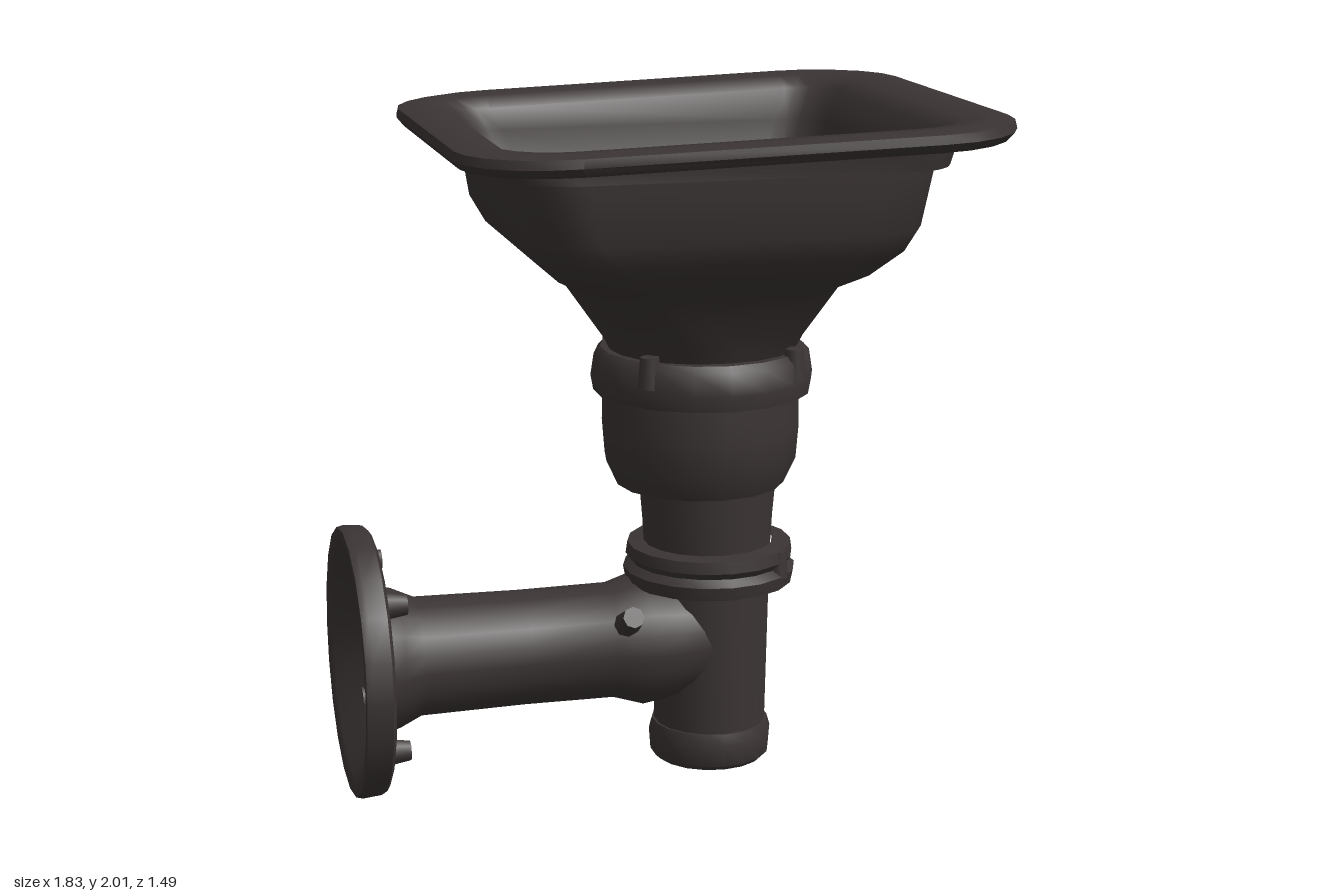
import * as THREE from 'three';
import { toCreasedNormals } from 'three/addons/utils/BufferGeometryUtils.js';

const AXIS_X = 0.155; // centre of the upright pipe

export function createModel() {
  const model = new THREE.Group();
  model.name = 'hopperPipe';
  const iron = new THREE.MeshStandardMaterial({ color: 0x3b3434 });
  iron.name = 'dark iron';

  function add(name, geometry, x = 0, y = 0, z = 0) {
    const mesh = new THREE.Mesh(geometry, iron);
    mesh.name = name;
    mesh.position.set(x, y, z);
    model.add(mesh);
    return mesh;
  }

  // Turned part from [radius, height] pairs, listed bottom to top
  function turned(profile, segments = 18) {
    const points = profile.map(([r, y]) => new THREE.Vector2(r, y));
    return toCreasedNormals(new THREE.LatheGeometry(points, segments), 0.75);
  }

  // Rounded-rectangle ring: y, left x, right x, half depth, corner radius, tilt
  function ring([y, x0, x1, hz, r, tilt = 0]) {
    const out = [];
    const steps = 5;
    for (let corner = 0; corner < 4; corner++) {
      const cx = corner < 2 ? x1 - r : x0 + r;
      const cz = corner === 0 || corner === 3 ? hz - r : r - hz;
      for (let i = 0; i <= steps; i++) {
        const a = (corner + i / steps) * Math.PI / 2;
        const x = cx + r * Math.sin(a);
        const z = (cz + r * Math.cos(a)) * (1 + tilt * (x - 0.9));
        out.push(x, y + tilt * (x - 0.125), z);
      }
    }
    return out;
  }

  // Skin through consecutive rings, with the last ring closed by a fan
  function loft(sections) {
    const rings = sections.map(ring);
    const n = rings[0].length / 3;
    const index = [];
    for (let j = 0; j < rings.length - 1; j++) {
      for (let i = 0; i < n; i++) {
        const a = j * n + i, b = j * n + (i + 1) % n;
        index.push(a, b, a + n, b, b + n, a + n);
      }
    }
    const last = (rings.length - 1) * n;
    for (let i = 1; i < n - 1; i++) index.push(last, last + i, last + i + 1);
    const geometry = new THREE.BufferGeometry();
    geometry.setAttribute('position', new THREE.Float32BufferAttribute(rings.flat(), 3));
    geometry.setIndex(index);
    geometry.computeVertexNormals();
    return toCreasedNormals(geometry, 0.85);
  }

  // Basin: outside from the neck up, over the rim, and down the inside
  add('basin', loft([
    [1.24, -0.10, 0.41, 0.25, 0.25],
    [1.32, -0.14, 0.45, 0.28, 0.27],
    [1.49, -0.25, 0.53, 0.37, 0.25],
    [1.54, -0.33, 0.58, 0.46, 0.22],
    [1.62, -0.42, 0.65, 0.53, 0.20],
    [1.69, -0.455, 0.67, 0.56, 0.17],
    [1.86, -0.48, 0.70, 0.57, 0.16],
    [1.865, -0.52, 0.74, 0.60, 0.18],
    [1.91, -0.54, 0.76, 0.62, 0.20, 0.03],
    [1.92, -0.64, 0.89, 0.73, 0.28, 0.03],
    [1.945, -0.66, 0.91, 0.75, 0.29, 0.03],
    [1.97, -0.655, 0.905, 0.745, 0.29, 0.03],
    [1.978, -0.62, 0.86, 0.70, 0.27, 0.03],
    [1.972, -0.54, 0.77, 0.62, 0.19, 0.03],
    [1.94, -0.49, 0.71, 0.57, 0.13, 0.03],
    [1.86, -0.455, 0.67, 0.54, 0.13],
    [1.68, -0.41, 0.63, 0.51, 0.15],
    [1.60, -0.36, 0.59, 0.46, 0.18],
    [1.53, -0.26, 0.52, 0.37, 0.25],
    [1.43, -0.12, 0.42, 0.27, 0.26],
    [1.38, -0.05, 0.36, 0.20, 0.20],
  ]));

  // Upright pipe, from the foot up
  add('foot', turned([[0, 0.01], [0.165, 0.01], [0.18, 0.025], [0.185, 0.09], [0.175, 0.125], [0, 0.125]]), 0.185);
  add('lowerPipe', turned([[0.168, 0.1], [0.172, 0.3], [0.178, 0.59], [0, 0.59]]), 0.185);
  add('lowerClamp', turned([[0.17, 0.575], [0.25, 0.57], [0.258, 0.61], [0.235, 0.63], [0.25, 0.65],
    [0.245, 0.685], [0.19, 0.69]]), 0.18);
  add('neck', turned([[0.19, 0.67], [0.195, 0.76], [0.207, 0.9]]), 0.175);
  add('socket', turned([[0.19, 0.865], [0.25, 0.875], [0.285, 0.95], [0.293, 1.05], [0.29, 1.17]], 16), 0.15);
  add('upperClamp', turned([[0.28, 1.15], [0.32, 1.155], [0.328, 1.2], [0.318, 1.265], [0.30, 1.285],
    [0.26, 1.285]]), AXIS_X);

  // Clamp lugs around the bands
  function lugs(name, x, y, radius, size, angles) {
    for (const a of angles) {
      const lug = add(name, new THREE.CylinderGeometry(size * 0.8, size, size * 2.6, 8),
        x + radius * Math.sin(a), y, radius * Math.cos(a));
      lug.rotation.y = a;
    }
  }
  const quarter = Math.PI / 4;
  lugs('upperClampLug', AXIS_X, 1.26, 0.305, 0.035, [quarter, 3 * quarter, 5 * quarter, 7 * quarter]);
  lugs('lowerClampLug', 0.18, 0.645, 0.235, 0.03, [quarter, 3 * quarter]);

  // Side branch with its dished flange, turned about the x axis
  const branch = turned([
    [0, -0.76], [0.16, -0.775], [0.27, -0.83], [0.34, -0.91], [0.365, -0.92], [0.395, -0.92],
    [0.4, -0.9], [0.395, -0.845], [0.38, -0.835], [0.22, -0.83], [0.205, -0.775], [0.175, -0.71],
    [0.17, -0.4], [0.172, -0.13], [0.2, -0.04], [0.185, 0.06], [0.165, 0.16],
  ], 20);
  branch.rotateZ(-Math.PI / 2);
  add('sideBranch', branch, 0, 0.395, 0);

  // Flange bolts
  for (const sy of [-1, 1]) {
    for (const sz of [-1, 1]) {
      const bolt = add('flangeBolt', new THREE.CylinderGeometry(0.03, 0.042, 0.07, 8),
        -0.81, 0.41 + sy * 0.22, sz * 0.225);
      bolt.rotation.z = -Math.PI / 2;
    }
  }

  // Small plug on the front of the branch
  const plug = add('branchPlug', new THREE.CylinderGeometry(0.032, 0.042, 0.14, 8), -0.11, 0.5, 0.165);
  plug.rotation.x = Math.PI / 3;

  return model;
}
